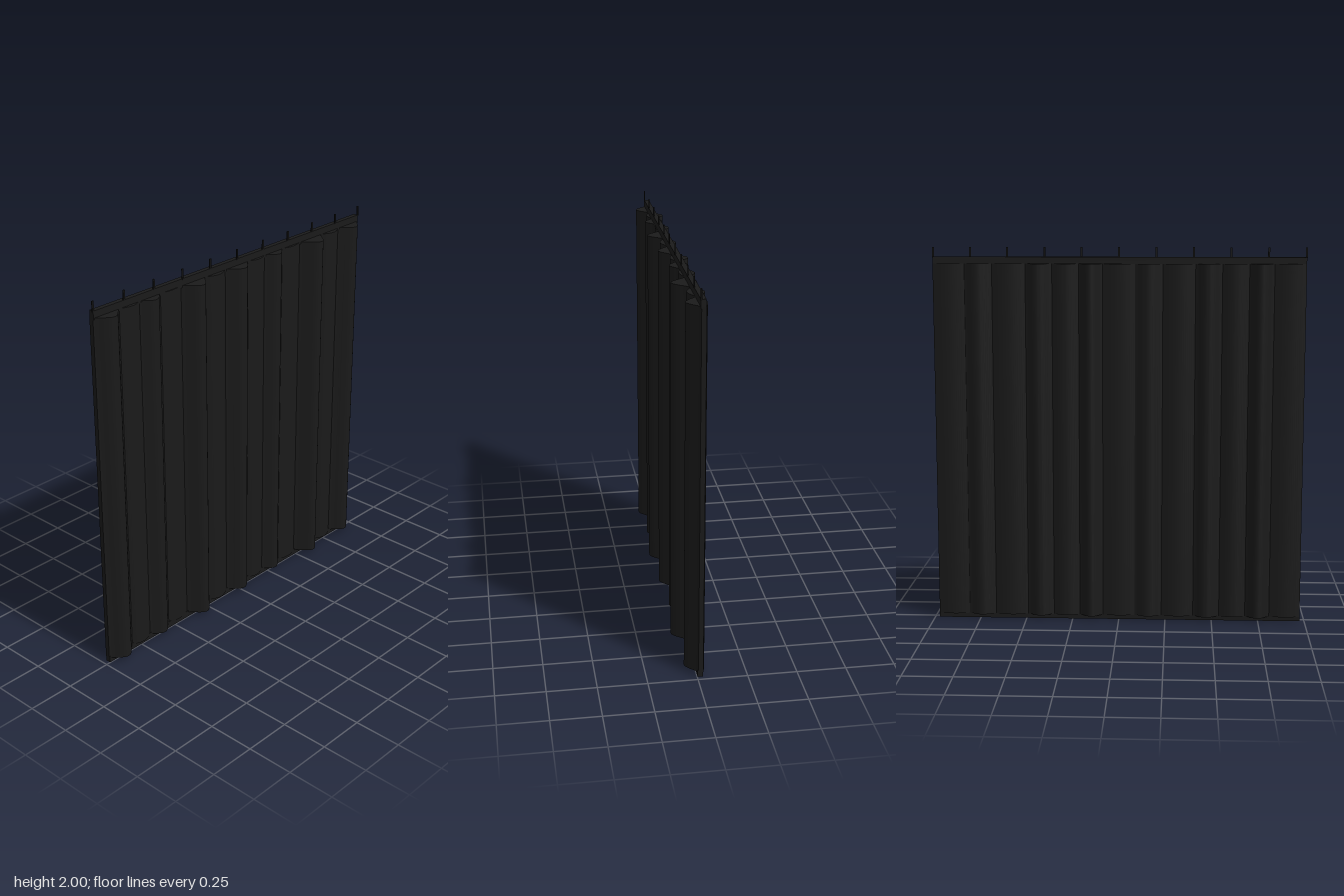
import * as THREE from 'three';
import { toCreasedNormals } from 'three/addons/utils/BufferGeometryUtils.js';

export function createModel() {
  const model = new THREE.Group();
  const cloth = new THREE.MeshStandardMaterial({ color: 0x1a1a1a });
  const metal = new THREE.MeshStandardMaterial({ color: 0x161616 });

  function box(name, material, size, position) {
    const mesh = new THREE.Mesh(new THREE.BoxGeometry(...size), material);
    mesh.name = name;
    mesh.position.set(...position);
    model.add(mesh);
  }

  // Seams between folds, and each fold's reach to the back and the front
  const seams = [-0.975, -0.81, -0.68, -0.54, -0.4, -0.23, -0.085, 0.085, 0.21, 0.35, 0.49, 0.665, 0.81, 0.975];
  const reach = [
    [-0.045, 0.055], [-0.075, 0.015], [-0.053, 0.04], [-0.068, 0.004], [-0.05, 0.067],
    [-0.06, 0.022], [-0.045, 0.055], [-0.075, 0.015], [-0.053, 0.04], [-0.066, 0.012],
    [-0.05, 0.075], [-0.06, 0.024], [-0.045, 0.055],
  ];
  const seamFront = -0.006, seamBack = -0.03, steps = 16;

  // Folds: lens-shaped outlines, bell-like on the deeper side, extruded upward
  const front = [], back = [];
  reach.forEach(([zBack, zFront], i) => {
    const forward = i % 2 === 0;
    const last = i === reach.length - 1 ? steps : steps - 1;
    for (let k = 0; k <= last; k++) {
      const t = k / steps;
      const x = THREE.MathUtils.lerp(seams[i], seams[i + 1], t);
      const arc = Math.max(0, Math.sin(Math.PI * t));
      const bell = Math.pow(arc, 1.4);
      front.push(new THREE.Vector2(x, -(seamFront + (zFront - seamFront) * (forward ? bell : arc))));
      back.push(new THREE.Vector2(x, -(seamBack + (zBack - seamBack) * (forward ? arc : bell))));
    }
  });
  const outline = new THREE.Shape([...front, ...back.reverse()]);
  const foldGeometry = new THREE.ExtrudeGeometry(outline, { depth: 1.89, bevelEnabled: false });
  foldGeometry.rotateX(-Math.PI / 2);
  const folds = new THREE.Mesh(toCreasedNormals(foldGeometry, 0.5), cloth);
  folds.name = 'curtainFolds';
  folds.position.y = 0.025;
  model.add(folds);

  // Heading tape and bottom hem
  box('headingTape', cloth, [1.95, 0.045, 0.026], [0, 1.9275, -0.015]);
  box('bottomHem', cloth, [1.95, 0.035, 0.026], [0, 0.0175, -0.015]);

  // Row of hanging hooks
  for (let i = 0; i < 11; i++) {
    box('hook', metal, [0.01, 0.055, 0.006], [(i - 5) * 0.195, 1.9725, -0.004]);
  }
  return model;
}
